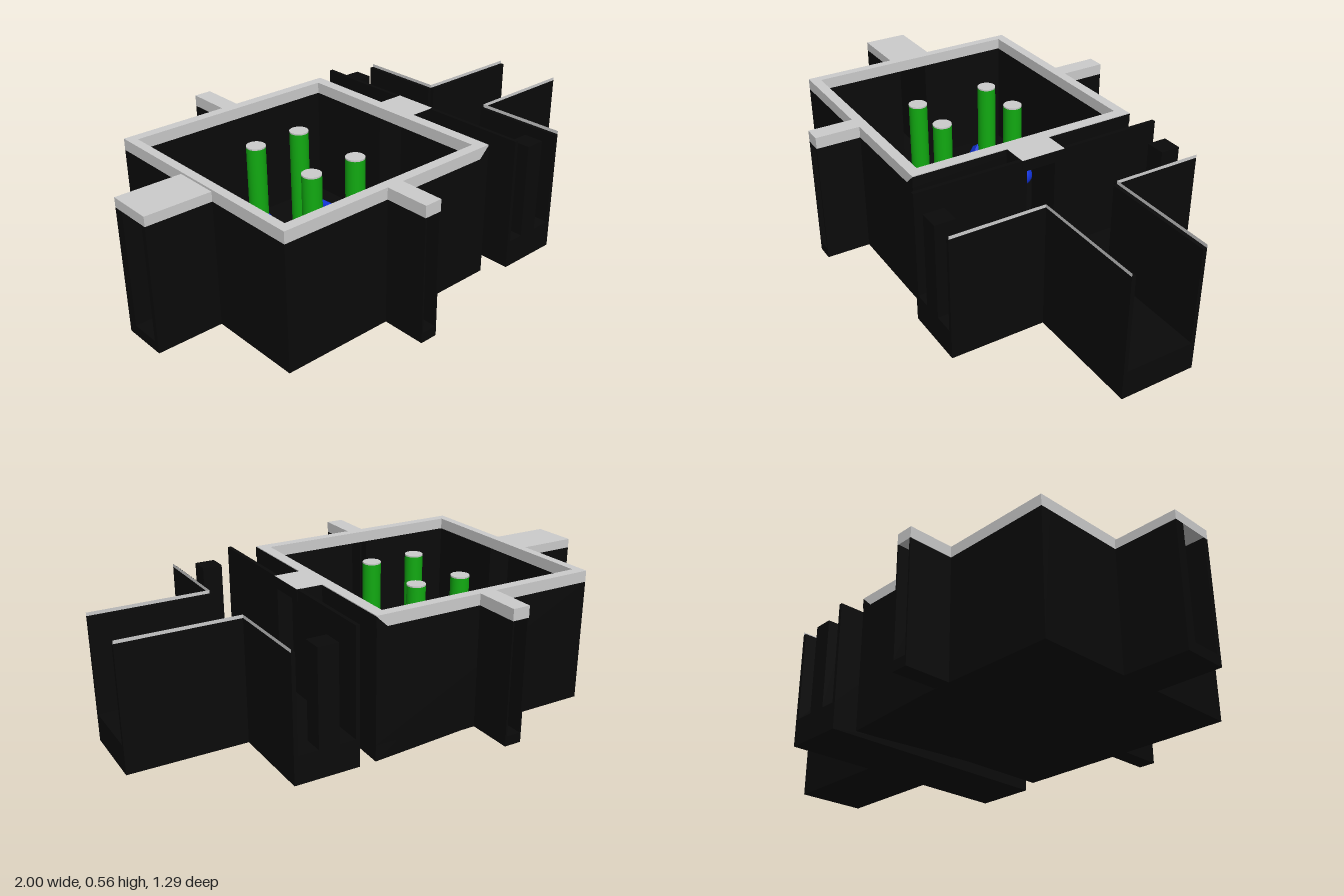
import * as THREE from 'three';

export function createModel() {
  const model = new THREE.Group();
  const mat = (color) => new THREE.MeshStandardMaterial({ color, side: THREE.DoubleSide });
  const black = mat(0x0a0a0a), grey = mat(0xcccccc), blue = mat(0x1133dd), green = mat(0x11aa11);

  const add = (name, geo, material, parent = model) => {
    const mesh = new THREE.Mesh(geo, material);
    mesh.name = name;
    parent.add(mesh);
    return mesh;
  };
  // box given by its limits on each axis
  const block = (name, x0, x1, y0, y1, z0, z1, material = black) => {
    const m = add(name, new THREE.BoxGeometry(x1 - x0, y1 - y0, z1 - z0), material);
    m.position.set((x0 + x1) / 2, (y0 + y1) / 2, (z0 + z1) / 2);
    return m;
  };
  // tapered rod between two points
  const rod = (name, a, b, ra, rb, material = blue, sides = 16) => {
    const p = new THREE.Vector3(...a), q = new THREE.Vector3(...b);
    const dir = q.clone().sub(p);
    const m = add(name, new THREE.CylinderGeometry(rb, ra, dir.length(), sides), material);
    m.position.copy(p).add(q).multiplyScalar(0.5);
    m.quaternion.setFromUnitVectors(new THREE.Vector3(0, 1, 0), dir.normalize());
    return m;
  };

  const base = 0.025, floor = 0.065, hall = 0.135, wallTop = 0.51, capTop = 0.555;
  const room = { x0: -0.745, x1: 0.195, z0: -0.465, z1: 0.47 };
  const inner = { x0: -0.71, x1: 0.15, z0: -0.425, z1: 0.43 };
  const door = { z0: -0.05, z1: 0.07 };

  // room floor, dipping towards one back corner
  const slab = new THREE.BoxGeometry(0.94, floor - base, 0.935, 10, 1, 10);
  slab.translate(-0.275, (floor + base) / 2, 0.0025);
  const pos = slab.attributes.position;
  for (let i = 0; i < pos.count; i++) {
    if (pos.getY(i) > 0.05) continue;
    const u = THREE.MathUtils.clamp((pos.getX(i) + 0.2) / 0.39, 0, 1);
    const v = THREE.MathUtils.clamp((0.07 - pos.getZ(i)) / 0.49, 0, 1);
    pos.setY(i, base - 0.025 * u * v);
  }
  slab.computeVertexNormals();
  add('roomFloor', slab, black);

  // room walls: doorways on both sides and at the front
  block('backWall', room.x0, room.x1, floor, wallTop, room.z0, inner.z0);
  block('frontWall', room.x0, -0.31, floor, wallTop, inner.z1, room.z1);
  block('frontWall', -0.24, room.x1, floor, wallTop, inner.z1, room.z1);
  for (const [x0, x1] of [[room.x0, inner.x0], [inner.x1, room.x1]]) {
    block('sideWall', x0, x1, floor, wallTop, inner.z0, door.z0);
    block('sideWall', x0, x1, floor, wallTop, door.z1, inner.z1);
  }

  // grey coping ring on the walls
  const rect = (r, Type) => new Type([[r.x0, r.z0], [r.x1, r.z0], [r.x1, r.z1], [r.x0, r.z1]]
    .map(([x, z]) => new THREE.Vector2(x, -z)));
  const ring = rect(room, THREE.Shape);
  ring.holes.push(rect(inner, THREE.Path));
  const cap = add('wallCoping', new THREE.ExtrudeGeometry(ring, { depth: capTop - wallTop, bevelEnabled: false }), grey);
  cap.rotation.x = -Math.PI / 2;
  cap.position.y = wallTop;

  // black mitred edge on the corridor side
  const mitre = new THREE.Shape([[0.152, wallTop], [0.197, wallTop], [0.197, capTop - 0.002]]
    .map((p) => new THREE.Vector2(...p)));
  add('mitredEdge', new THREE.ExtrudeGeometry(mitre, { depth: 0.937, bevelEnabled: false }), black)
    .position.z = -0.466;

  // narrow passages at back and front
  for (const [z0, z1] of [[-0.65, room.z0], [room.z1, 0.645]]) {
    block('narrowPassageFloor', -0.31, -0.24, base, floor, z0, z1);
    block('narrowPassageWall', -0.31, -0.304, floor, wallTop, z0, z1);
    block('narrowPassageWall', -0.246, -0.24, floor, wallTop, z0, z1);
    block('narrowPassageRoof', -0.31, -0.24, wallTop, capTop, z0, z1, grey);
  }

  // wide passage on the far side and the link to the corridor
  for (const [name, x0, x1, y0, y1, top] of [
    ['widePassage', -1, room.x0, base, floor, 0.547],
    ['link', room.x1, 0.3, floor, hall, capTop]]) {
    block(name + 'Floor', x0, x1, y0, y1, -0.09, 0.09);
    block(name + 'Wall', x0, x1, y1, wallTop, -0.09, door.z0);
    block(name + 'Wall', x0, x1, y1, wallTop, door.z1, 0.09);
    block(name + 'Roof', x0, x1, wallTop, top, -0.09, 0.09, grey);
  }
  block('linkRoofSide', 0.198, 0.301, wallTop, capTop - 0.001, 0.09, 0.092);
  block('linkRoofSide', 0.198, 0.301, wallTop, capTop - 0.001, -0.092, -0.09);
  block('linkRoofEnd', 0.3, 0.302, wallTop, capTop - 0.001, -0.092, 0.092);

  // open-topped cross corridor with a post at each end
  block('corridorFloor', 0.285, 0.54, base, hall, -0.505, 0.52);
  block('corridorInnerWall', 0.285, 0.3, hall, capTop, -0.505, -0.09);
  block('corridorInnerWall', 0.285, 0.3, hall, capTop, 0.09, 0.52);
  block('corridorOuterWall', 0.525, 0.54, hall, wallTop, -0.505, -0.145);
  block('corridorOuterWall', 0.525, 0.54, hall, wallTop, 0.15, 0.52);
  block('corridorPost', 0.365, 0.445, hall, wallTop, -0.505, -0.425);
  block('corridorPost', 0.365, 0.445, hall, wallTop, 0.44, 0.52);

  // entrance hall leading away
  block('entranceFloor', 0.54, 1, base, hall, -0.145, 0.15);
  block('entranceWall', 0.54, 1, hall, wallTop, -0.145, -0.13);
  block('entranceWall', 0.54, 1, hall, wallTop, 0.135, 0.15);

  // thin pale trim standing on the corridor and entrance walls
  const trim = (length, x, z, turn) => {
    const m = add('wallTrim', new THREE.PlaneGeometry(length, 0.013), grey);
    m.position.set(x, wallTop + 0.0065, z);
    m.rotation.y = turn;
  };
  for (const z of [-0.145, 0.15]) trim(0.46, 0.77, z, 0);
  trim(0.36, 0.54, -0.325, Math.PI / 2);
  trim(0.37, 0.54, 0.335, Math.PI / 2);

  // four green columns with grey tops
  for (const x of [-0.375, -0.17]) for (const z of [-0.163, 0.157]) {
    rod('column', [x, floor, z], [x, wallTop, z], 0.037, 0.037, green, 24);
    rod('columnTop', [x, wallTop, z], [x, wallTop + 0.006, z], 0.037, 0.037, grey, 24);
  }

  // blue objects on the floor
  const y = floor + 0.02;
  const cube = add('cube', new THREE.BoxGeometry(0.055, 0.055, 0.055), blue);
  cube.position.set(-0.535, floor + 0.045, -0.21);
  cube.rotation.set(Math.PI / 4, 0, Math.atan(Math.SQRT1_2));
  cube.rotation.order = 'ZXY';
  add('ball', new THREE.SphereGeometry(0.045, 24, 16), blue).position.set(-0.275, floor + 0.04, -0.28);
  rod('staff', [0.035, y, -0.39], [0.035, y, -0.135], 0.01, 0.022);
  rod('staffBranch', [-0.055, y, -0.345], [0.03, y, -0.28], 0.004, 0.004);
  rod('horn', [-0.525, y, 0.005], [-0.41, y, 0.005], 0.014, 0.006);
  rod('hornMouth', [-0.415, y, 0.005], [-0.395, y, 0.005], 0.006, 0.011);
  rod('cone', [-0.145, floor + 0.04, 0.005], [-0.035, floor + 0.04, 0.005], 0.008, 0.04);
  for (const s of [-1, 1]) {
    rod('dividerLeg', [-0.272, floor + 0.04, 0.15], [-0.272 + s * 0.03, floor + 0.012, 0.3], 0.008, 0.009);
  }
  const crescent = add('openRing', new THREE.TorusGeometry(0.09, 0.014, 10, 32, Math.PI * 1.75), blue);
  crescent.position.set(-0.555, floor + 0.012, 0.325);
  crescent.rotation.set(Math.PI / 2, 0, Math.PI * 1.15);
  crescent.rotation.order = 'YXZ';
  crescent.rotation.y = 0;
  crescent.scale.set(1, 0.72, 0.8);
  const bow = new THREE.CatmullRomCurve3([[-0.09, 0.34], [-0.03, 0.315], [0.04, 0.27], [0.11, 0.225]]
    .map(([x, z]) => new THREE.Vector3(x, floor + 0.01, z)));
  add('curvedRod', new THREE.TubeGeometry(bow, 16, 0.005, 8), blue);

  // small key in the corridor
  rod('key', [0.33, hall + 0.014, 0.003], [0.43, hall + 0.014, 0.003], 0.013, 0.006);
  add('keyHead', new THREE.SphereGeometry(0.014, 16, 10), blue).position.set(0.435, hall + 0.014, 0.003);

  return model;
}
